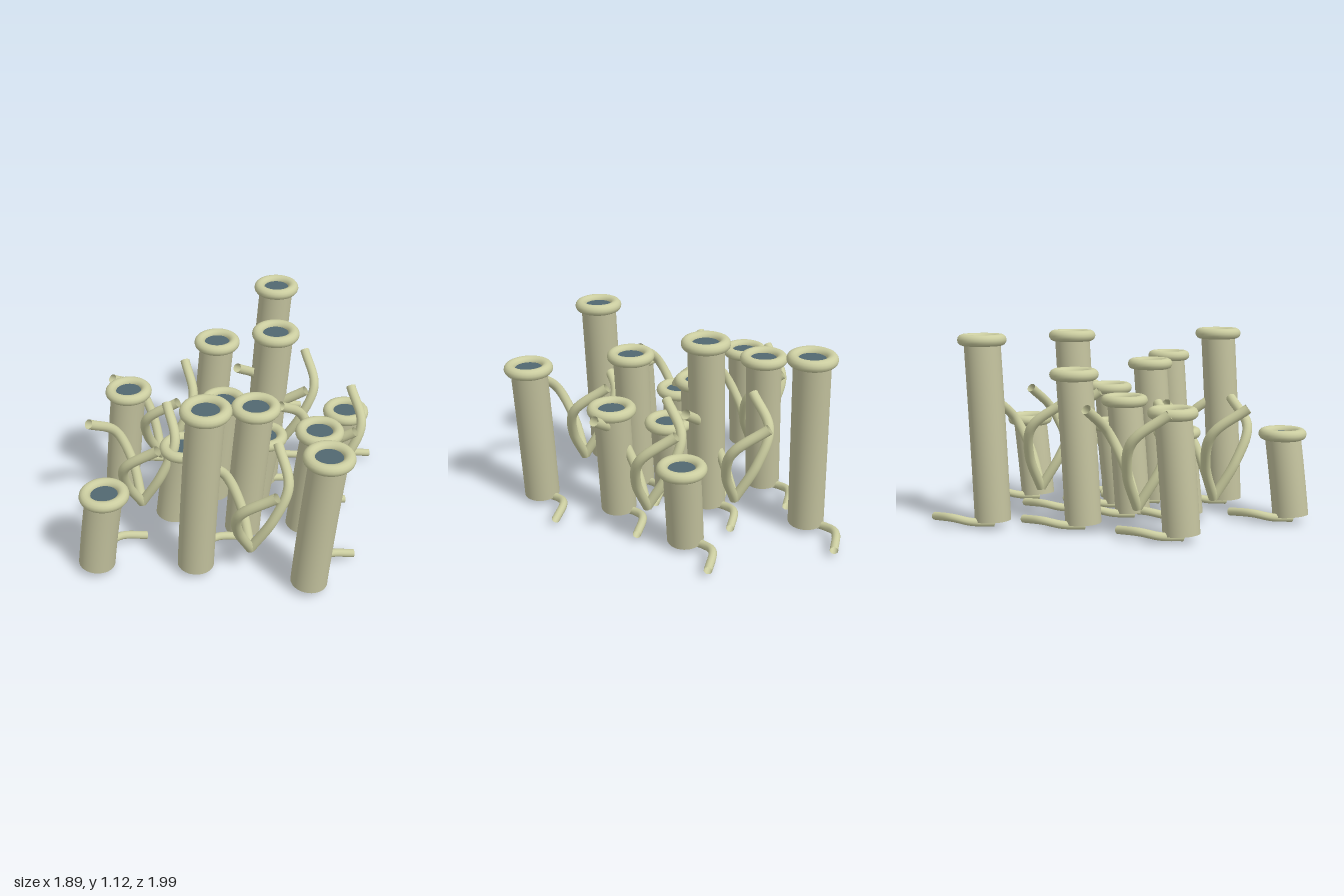
import * as THREE from 'three';

const V = (x, y, z) => new THREE.Vector3(x, y, z);
const mat = (name, color, side = THREE.FrontSide) => {
  const m = new THREE.MeshStandardMaterial({ color, side });
  m.name = name;
  return m;
};

// x, z of the tube mouth and height of its rim
const TUBES = [
  [0.35, -0.77, 1.085], [-0.06, -0.43, 0.893], [0.27, -0.16, 1.085], [0.72, -0.14, 0.522],
  [-0.62, -0.20, 0.708], [-0.055, -0.03, 0.708], [0.18, 0.09, 0.522], [-0.31, 0.16, 0.522],
  [0.10, 0.34, 0.893], [0.47, 0.34, 0.708], [-0.77, 0.58, 0.522], [-0.20, 0.64, 1.085],
  [0.43, 0.85, 0.893],
];

// x, z of the foot of each three-armed sprig
const SPRIGS = [[-0.57, 0.20], [0.04, 0.68], [-0.435, -0.29], [0.56, 0.11], [0.345, -0.355]];

// radius, angle in degrees and height along one sprig arm
const ARM = [[0, 0, 0.16], [0.13, 10, 0.38], [0.215, -8, 0.57], [0.285, -52, 0.72]];

export function createModel() {
  const model = new THREE.Group();
  model.name = 'tubeColony';
  const wall = mat('tubeOlive', 0xc2c19d, THREE.DoubleSide);
  const pale = mat('paleOlive', 0xcbcda0, THREE.DoubleSide);
  const dark = mat('slateBlue', 0x526870);

  const add = (parent, name, geometry, material) => {
    const mesh = new THREE.Mesh(geometry, material);
    mesh.name = name;
    parent.add(mesh);
    return mesh;
  };

  // Rounded rim, dark mouth and curling root are shared by every tube
  const rimGeo = new THREE.TorusGeometry(0.108, 0.033, 14, 36).rotateX(Math.PI / 2);
  const mouthGeo = new THREE.CircleGeometry(0.1, 32).rotateX(-Math.PI / 2);
  const rootPath = new THREE.CatmullRomCurve3([
    V(-0.01, 0.025, 0), V(0.045, 0.04, -0.12), V(0.13, 0.06, -0.19), V(0.295, 0.045, -0.205),
  ]);
  const rootGeo = new THREE.TubeGeometry(rootPath, 24, 0.024, 12);

  TUBES.forEach(([x, z, h]) => {
    const tube = new THREE.Group();
    tube.name = 'tube';
    tube.position.set(x - 0.073, 0, z);
    // Open stalk leaning gently towards +x
    const lean = new THREE.QuadraticBezierCurve3(
      V(0, 0.04, 0), V(0.028, h * 0.5, 0), V(0.073, h, 0));
    add(tube, 'stalk', new THREE.TubeGeometry(lean, 16, 0.105, 32), wall);
    add(tube, 'rim', rimGeo, pale).position.set(0.073, h, 0);
    add(tube, 'mouth', mouthGeo, dark).position.set(0.073, h + 0.005, 0);
    add(tube, 'root', rootGeo, pale);
    model.add(tube);
  });

  // Spiralling arm, repeated three times around each foot
  const armPath = new THREE.CatmullRomCurve3(ARM.map(([r, deg, y]) => {
    const a = THREE.MathUtils.degToRad(deg);
    return V(r * Math.cos(a), y, r * Math.sin(a));
  }));
  const armGeo = new THREE.TubeGeometry(armPath, 32, 0.029, 14);

  SPRIGS.forEach(([x, z]) => {
    const sprig = new THREE.Group();
    sprig.name = 'sprig';
    sprig.position.set(x, 0, z);
    for (let i = 0; i < 3; i++) {
      add(sprig, 'arm', armGeo, pale).rotation.y = -i * Math.PI * 2 / 3;
    }
    model.add(sprig);
  });

  return model;
}
